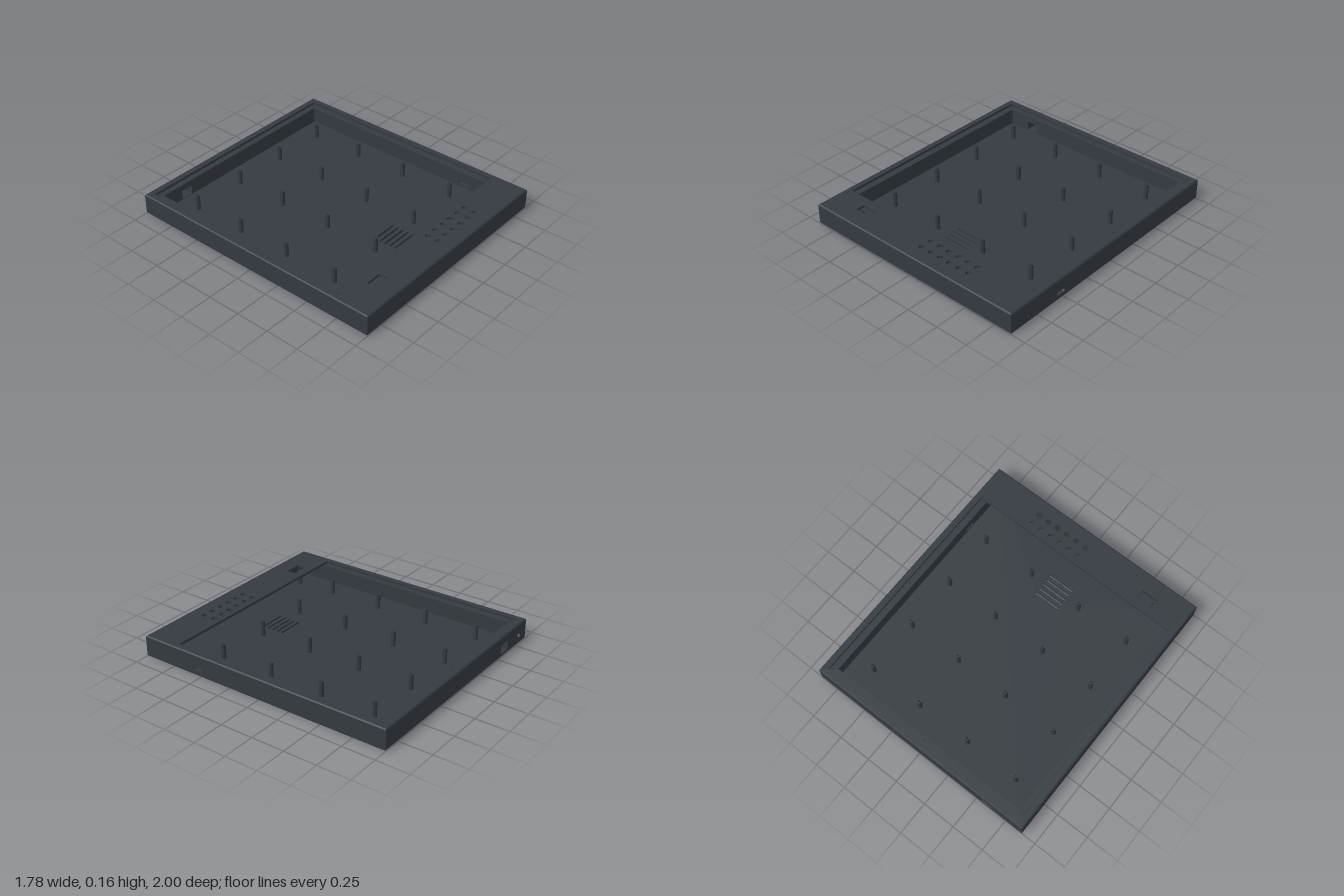
import * as THREE from 'three';
import { toCreasedNormals } from 'three/addons/utils/BufferGeometryUtils.js';

const W = 0.89, D = 1, H = 0.16;        // outer half width, half depth, height
const IW = 0.795, ID = 0.908;           // inner half width and depth
const C = 0.008, FLOOR = 0.02, LEDGE = 0.14, LEDGE_BASE = 0.125;

const rect = (x0, y0, x1, y1, Type = THREE.Path) => {
  const p = new Type();
  p.moveTo(x0, y0); p.lineTo(x1, y0); p.lineTo(x1, y1); p.lineTo(x0, y1); p.closePath();
  return p;
};
const circle = (x, y, r) => new THREE.Path().absarc(x, y, r, 0, Math.PI * 2, true);
const stadium = (x, y, halfLength, r) => {
  const p = new THREE.Path();
  p.absarc(x + halfLength - r, y, r, -Math.PI / 2, Math.PI / 2, false);
  p.absarc(x - halfLength + r, y, r, Math.PI / 2, Math.PI * 1.5, false);
  p.closePath();
  return p;
};

export function createModel() {
  const model = new THREE.Group();
  model.name = 'enclosure';
  const slate = new THREE.MeshStandardMaterial({ color: 0x343a40 });
  slate.name = 'dark slate';

  const add = (name, geometry, x = 0, y = 0, z = 0) => {
    const mesh = new THREE.Mesh(geometry, slate);
    mesh.name = name;
    mesh.position.set(x, y, z);
    model.add(mesh);
    return mesh;
  };
  const extrude = (shape, holes, depth) => {
    shape.holes.push(...holes);
    return new THREE.ExtrudeGeometry(shape, { depth, bevelEnabled: false, curveSegments: 10 });
  };
  // Horizontal plate; hole coordinates are (x, -z)
  const layer = (name, inset, y0, y1, holes) => {
    const shape = rect(-W + inset, -D + inset, W - inset, D - inset, THREE.Shape);
    add(name, extrude(shape, holes, y1 - y0).rotateX(-Math.PI / 2), 0, y0, 0);
  };
  // Sloped band along the top or bottom outer edge
  const chamfer = (name, bottomInset, topInset, y) => {
    const g = new THREE.CylinderGeometry((1 - topInset) * Math.SQRT2, (1 - bottomInset) * Math.SQRT2, C, 4, 1, true)
      .rotateY(Math.PI / 4).scale(W, 1, D).toNonIndexed();
    g.computeVertexNormals();
    add(name, g, 0, y, 0);
  };

  // Floor with five ventilation slots
  const vents = [];
  for (let i = 0; i < 5; i++) vents.push(stadium(0, -(0.433 + i * 0.042), 0.105, 0.008));
  layer('floor', C, 0, FLOOR, vents);
  chamfer('bottomEdge', C, 0, C / 2);

  // Walls: the back has a square and a round port, the +x side a slot
  const wallShape = (half) => rect(-half, C, half, LEDGE_BASE, THREE.Shape);
  add('backWall', extrude(wallShape(W), [
    rect(-0.63, 0.026, -0.537, 0.094), circle(-0.793, 0.067, 0.02),
  ], D - ID), 0, 0, -D);
  add('frontWall', extrude(wallShape(W), [], D - ID), 0, 0, ID);
  add('leftWall', extrude(wallShape(ID), [stadium(-0.528, 0.051, 0.04, 0.013)], W - IW)
    .rotateY(Math.PI / 2), IW);
  add('rightWall', extrude(wallShape(ID), [], W - IW).rotateY(Math.PI / 2), -W);

  // Ledge that carries the cover, with screw holes
  const screws = [circle(0, 0.93, 0.008)];
  for (const x of [-0.82, 0.82]) {
    for (const z of [-0.93, -0.11, 0.708]) screws.push(circle(x, -z, 0.008));
  }
  layer('ledge', 0, LEDGE_BASE, LEDGE, [rect(-IW, -ID, IW, ID), ...screws]);

  // Top rim and control strip, with button holes and a switch window
  const rimHoles = () => {
    const holes = [rect(-0.843, -0.73, 0.843, 0.95), rect(-0.645, -0.868, -0.517, -0.797)];
    for (let i = 0; i < 6; i++) {
      for (const z of [0.793, 0.878]) holes.push(circle(i * 0.084, -z, 0.021));
    }
    return holes;
  };
  layer('rimBase', 0, LEDGE, H - C, rimHoles());
  layer('rimTop', C, H - C, H, rimHoles());
  chamfer('topEdge', 0, C, H - C / 2);

  // Hollow standoffs on the floor, plus one under the switch window
  const profile = [[0.017, FLOOR], [0.017, 0.135], [0.008, 0.135], [0.008, 0.08], [0, 0.08]]
    .map(([r, y]) => new THREE.Vector2(r, y));
  const standoff = toCreasedNormals(new THREE.LatheGeometry(profile, 20), 0.6);
  for (let i = 0; i < 4; i++) {
    for (let j = 0; j < 4; j++) add('standoff', standoff, -0.635 + i * 0.422, 0, -0.74 + j * 0.42);
  }
  add('switchStandoff', standoff, -0.63, 0, 0.835);

  return model;
}
